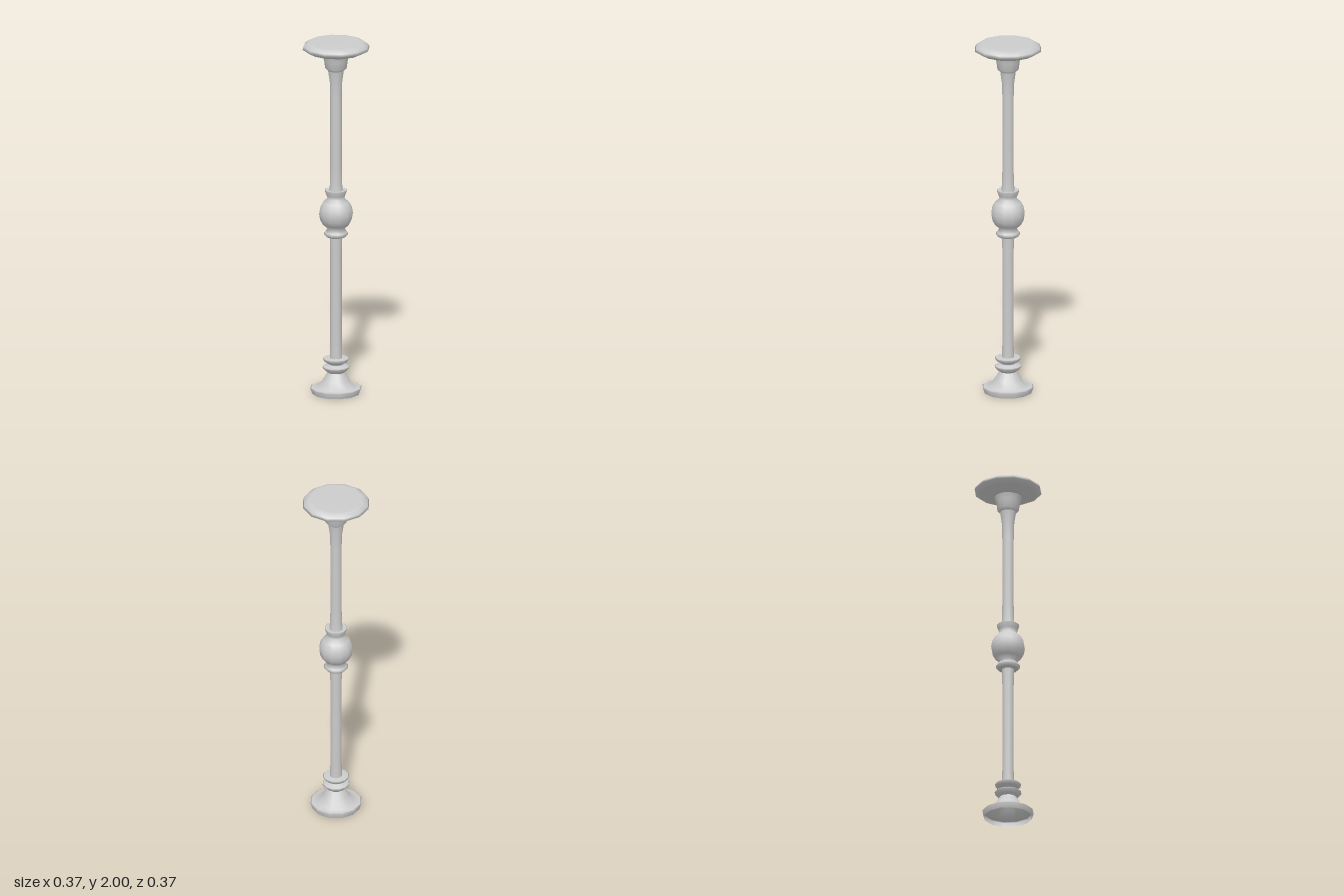
import * as THREE from 'three';

const SIDES = 12;
const TURN = -7.2 * Math.PI / 180; // slight twist of the twelve-sided section

const material = new THREE.MeshStandardMaterial({ color: 0xcccccc, side: THREE.DoubleSide });

// Turned part from [radius, height] pairs, listed bottom to top
function turned(name, profile) {
  const points = profile.map(([r, y]) => new THREE.Vector2(r, y));
  const mesh = new THREE.Mesh(new THREE.LatheGeometry(points, SIDES, TURN), material);
  mesh.name = name;
  return mesh;
}

export function createModel() {
  const group = new THREE.Group();
  group.name = 'baluster';

  // Hollow flared foot, open underneath
  group.add(turned('foot', [
    [0.132, 0], [0.143, 0.03], [0.135, 0.034], [0.1, 0.034],
    [0.072, 0.075], [0.047, 0.118],
  ]));

  // Two stacked rings above the foot
  group.add(turned('footRings', [
    [0.047, 0.118], [0.06, 0.128], [0.075, 0.146], [0.07, 0.152], [0.038, 0.16],
    [0.042, 0.168], [0.062, 0.178], [0.073, 0.194], [0.068, 0.199], [0.034, 0.2],
  ]));

  group.add(turned('lowerShaft', [[0.034, 0.2], [0.032, 0.28], [0.032, 0.8], [0.034, 0.89]]));

  // Central knob: flared collar, ball and cup-shaped lip
  const ball = [];
  for (let i = 0; i <= 6; i++) {
    const a = -1.05 + i * 0.35;
    ball.push([0.094 * Math.cos(a), 1.024 + 0.098 * Math.sin(a)]);
  }
  group.add(turned('centralKnob', [
    [0.034, 0.89], [0.055, 0.893], [0.068, 0.908], [0.06, 0.918],
    ...ball,
    [0.053, 1.13], [0.063, 1.157], [0.058, 1.16], [0.038, 1.156],
  ]));

  group.add(turned('upperShaft', [
    [0.038, 1.156], [0.034, 1.19], [0.032, 1.28], [0.032, 1.68], [0.034, 1.77], [0.044, 1.84],
  ]));

  // Tapered collar below the cap
  group.add(turned('capCollar', [[0.044, 1.84], [0.06, 1.855], [0.066, 1.9], [0.076, 1.93]]));

  // Broad flat cap with a rounded rim
  group.add(turned('cap', [
    [0.076, 1.93], [0.15, 1.946], [0.186, 1.966], [0.18, 1.982], [0.158, 1.997], [0.14, 2], [0, 2],
  ]));

  return group;
}
